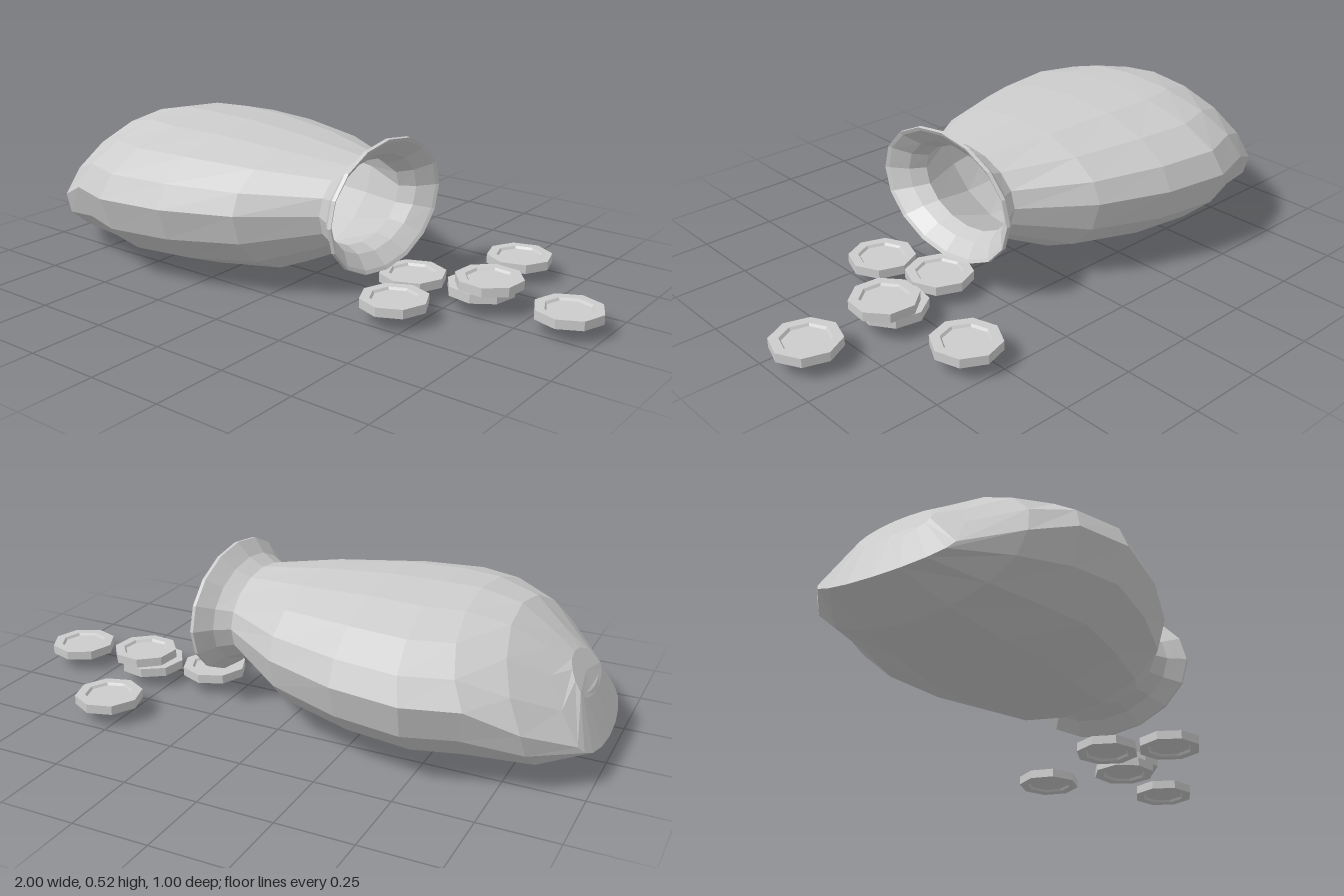
import * as THREE from 'three';

const SIDES = 16;
const CENTRE_Z = 0.012;

// One sack ring: top [x, y], widest side [x, y, half width], bottom [x, y]
const ring = (top, side, bottom) => ({ top, side, bottom });
const upright = (x, top, mid, bottom, w) => ring([x, top], [x, mid, w], [x, bottom]);

// Ring moved inwards by the cloth thickness
function inset(r, t) {
  return ring([r.top[0] + t * 0.4, r.top[1] - t],
    [r.side[0] + t * 0.4, r.side[1], r.side[2] - t],
    [r.bottom[0] + t * 0.4, r.bottom[1] + t]);
}

function ringPoints({ top, side, bottom }) {
  return Array.from({ length: SIDES }, (_, i) => {
    const a = (i / SIDES) * Math.PI * 2, s = Math.sin(a);
    const end = s >= 0 ? top : bottom, k = Math.abs(s);
    return new THREE.Vector3(
      THREE.MathUtils.lerp(side[0], end[0], k),
      THREE.MathUtils.lerp(side[1], end[1], k),
      CENTRE_Z + side[2] * Math.cos(a));
  });
}

// Skin a list of rings, closing both ends onto a pole point
function loft(rings, startPole, endPole) {
  const pts = rings.map(ringPoints), pos = [];
  const tri = (...vs) => vs.forEach(v => pos.push(v.x, v.y, v.z));
  const last = pts[pts.length - 1];
  for (let i = 0; i < SIDES; i++) {
    const j = (i + 1) % SIDES;
    tri(startPole, pts[0][i], pts[0][j]);
    for (let k = 0; k < pts.length - 1; k++) {
      const p = pts[k], q = pts[k + 1];
      tri(p[i], q[i], q[j]);
      tri(p[i], q[j], p[j]);
    }
    tri(last[i], endPole, last[j]);
  }
  const g = new THREE.BufferGeometry();
  g.setAttribute('position', new THREE.Float32BufferAttribute(pos, 3));
  g.computeVertexNormals();
  return g;
}

export function createModel() {
  const model = new THREE.Group();
  model.name = 'spilledCoinSack';
  const material = new THREE.MeshStandardMaterial({
    color: 0xcccccc, flatShading: true, side: THREE.DoubleSide });

  // Sack lying on its side: slumped base, belly, tied neck, flared mouth
  const outer = [
    ring([-0.87, 0.345], [-0.925, 0.27, 0.12], [-0.945, 0.23]),
    ring([-0.80, 0.40], [-0.955, 0.15, 0.23], [-1.0, 0.09]),
    ring([-0.70, 0.47], [-0.82, 0.215, 0.36], [-0.85, 0.02]),
    ring([-0.57, 0.497], [-0.67, 0.285, 0.43], [-0.62, 0.005]),
    ring([-0.45, 0.498], [-0.50, 0.29, 0.488], [-0.48, 0.002]),
    upright(-0.27, 0.495, 0.29, 0.01, 0.455),
    upright(-0.03, 0.475, 0.295, 0.04, 0.372),
    upright(0.19, 0.445, 0.30, 0.145, 0.22),
    upright(0.24, 0.472, 0.30, 0.127, 0.25),
    upright(0.283, 0.518, 0.302, 0.085, 0.302),
    upright(0.295, 0.516, 0.302, 0.087, 0.30),
  ];
  const inner = outer.slice(0, -1).reverse().map(r => inset(r, 0.014));
  const sack = new THREE.Mesh(
    loft([...outer, ...inner],
      new THREE.Vector3(-0.91, 0.29, CENTRE_Z),
      new THREE.Vector3(-0.895, 0.29, CENTRE_Z)),
    material);
  sack.name = 'sack';
  model.add(sack);

  // Eight-sided coins with a raised rim on both faces
  const profile = [[0, 0.008], [0.072, 0.008], [0.078, 0], [0.11, 0],
    [0.11, 0.03], [0.078, 0.03], [0.072, 0.022], [0, 0.022]]
    .map(([x, y]) => new THREE.Vector2(x, y));
  const coinGeometry = new THREE.LatheGeometry(profile, 8);
  const coins = new THREE.Group();
  coins.name = 'coins';
  [ // x, y, z, turn
    [0.36, 0.05, -0.04, 0],
    [0.43, 0.05, 0.168, 0.05],
    [0.582, 0.05, -0.09, 0.2],
    [0.612, 0.08, -0.088, 0.3],
    [0.552, 0.05, -0.395, -0.1],
    [0.888, 0.05, -0.08, 0.08],
  ].forEach(([x, y, z, turn], i) => {
    const coin = new THREE.Mesh(coinGeometry, material);
    coin.name = `coin${i + 1}`;
    coin.position.set(x, y, z);
    coin.rotation.y = turn;
    coins.add(coin);
  });
  model.add(coins);
  return model;
}
